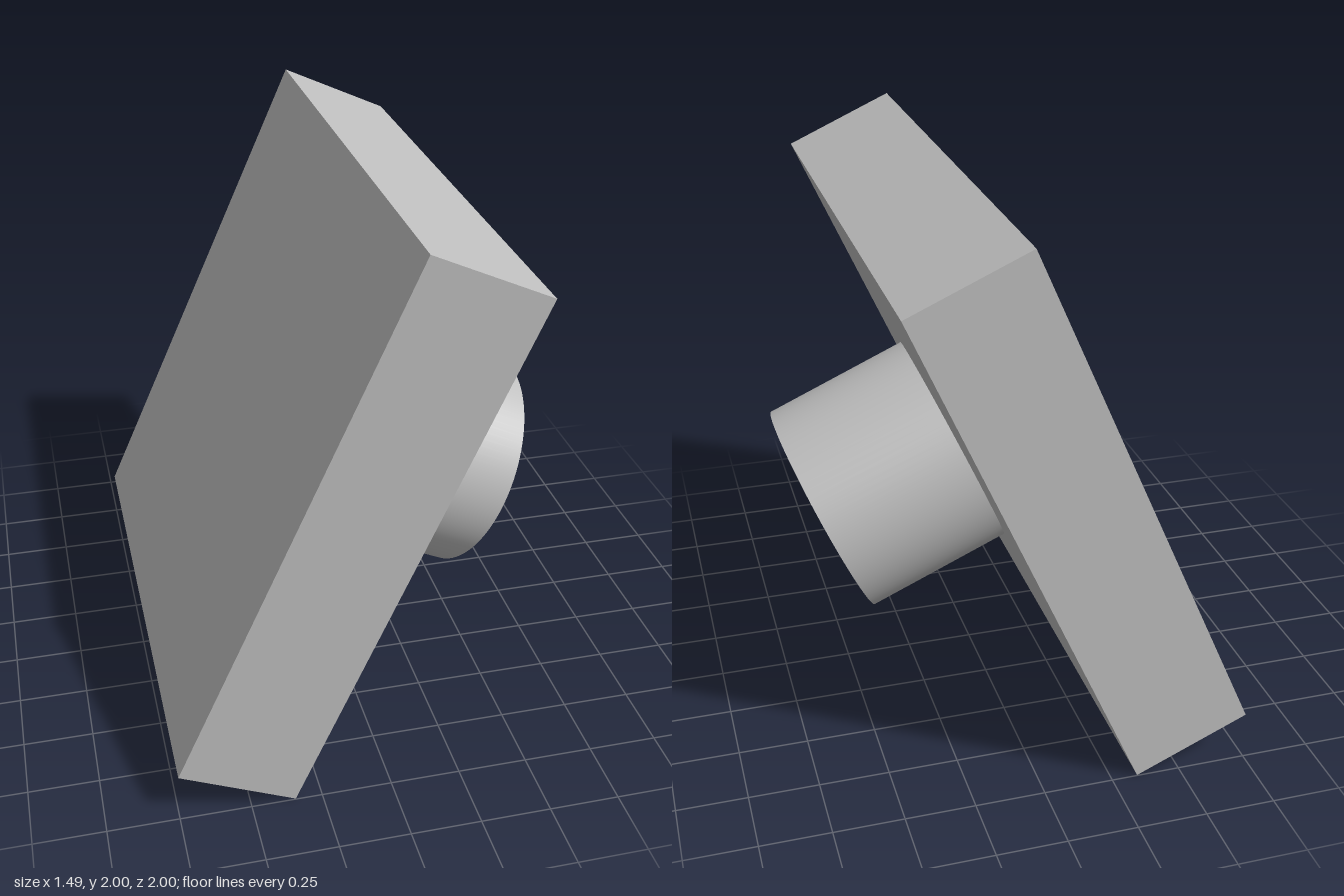
import * as THREE from 'three';

const TILT = THREE.MathUtils.degToRad(24.25);
const SIDE = 1.995, THICK = 0.442;
const BOSS_RADIUS = 0.413, BOSS_LENGTH = 0.555;

export function createModel() {
  const grey = new THREE.MeshStandardMaterial({ color: 0xbfbfbf });
  grey.name = 'plain grey';

  const model = new THREE.Group();
  model.name = 'tiltedPlateWithBoss';

  // Both parts are built square, then leaned over together
  const tilted = new THREE.Group();
  tilted.name = 'tiltedBody';
  tilted.position.set(-0.136, 1, 0);
  tilted.rotation.z = -TILT;
  model.add(tilted);

  // Square plate
  const plate = new THREE.Mesh(new THREE.BoxGeometry(THICK, SIDE, SIDE), grey);
  plate.name = 'plate';
  tilted.add(plate);

  // Round boss standing on the centre of the plate's lower face
  const boss = new THREE.Mesh(
    new THREE.CylinderGeometry(BOSS_RADIUS, BOSS_RADIUS, BOSS_LENGTH, 96), grey);
  boss.name = 'boss';
  boss.rotation.z = -Math.PI / 2;
  boss.position.x = THICK / 2 + BOSS_LENGTH / 2;
  tilted.add(boss);

  return model;
}
